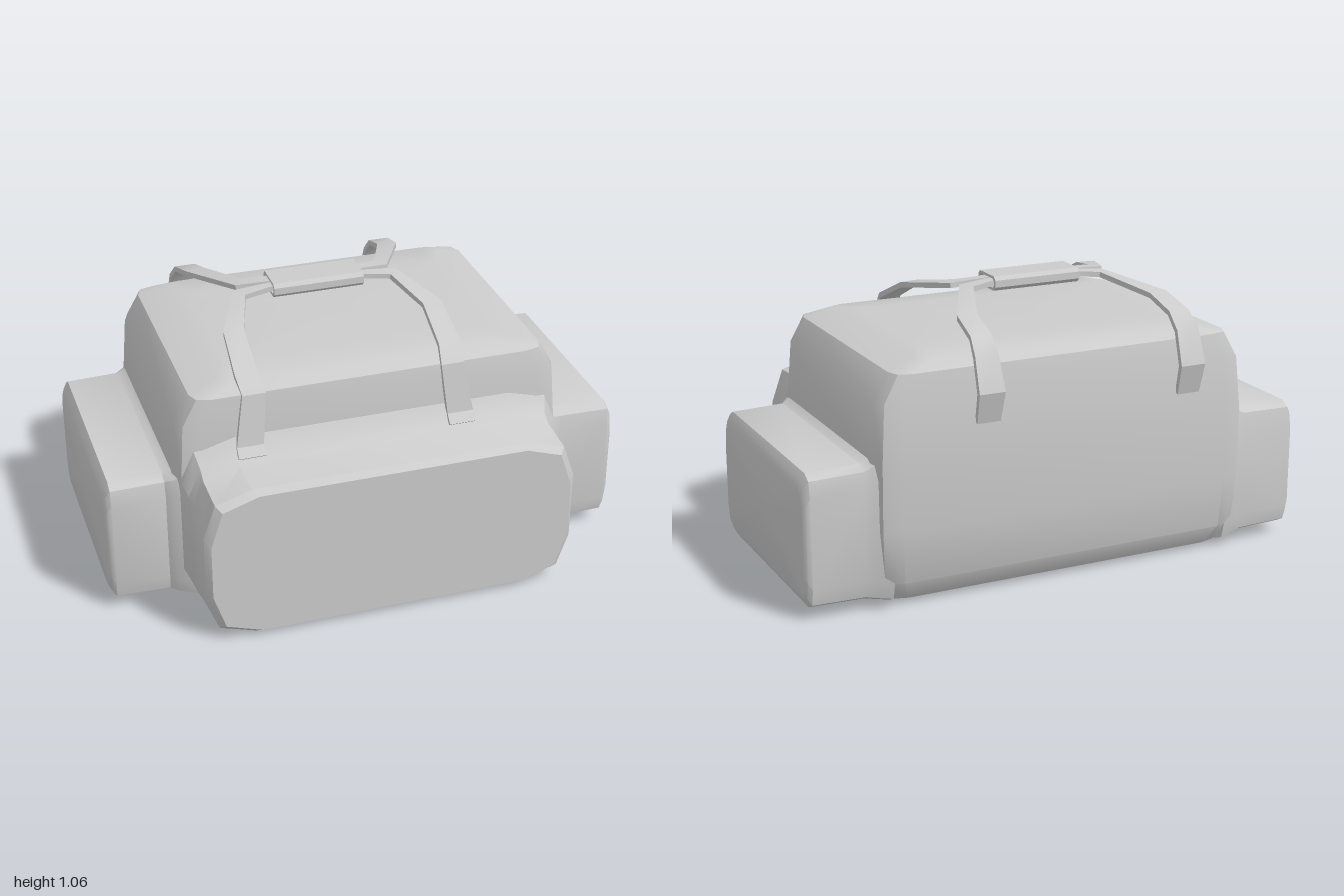
import * as THREE from 'three';
import { toCreasedNormals } from 'three/addons/utils/BufferGeometryUtils.js';

const V = (x, y, z) => new THREE.Vector3(x, y, z);
const material = new THREE.MeshStandardMaterial({ color: 0xcccccc });

// Skin a list of point rings, close both ends, and turn all faces outward.
function loft(rings, crease = 0.6) {
  const tris = [];
  const n = rings[0].length;
  for (let i = 0; i < rings.length - 1; i++) {
    for (let j = 0; j < n; j++) {
      const k = (j + 1) % n;
      const [a, b, c, d] = [rings[i][j], rings[i][k], rings[i + 1][k], rings[i + 1][j]];
      tris.push([a, b, c], [a, c, d]);
    }
  }
  const cap = (ring, flip) => {
    const mid = ring.reduce((s, p) => s.add(p), V(0, 0, 0)).divideScalar(n);
    for (let j = 0; j < n; j++) {
      const [a, b] = [ring[j], ring[(j + 1) % n]];
      tris.push(flip ? [mid, b, a] : [mid, a, b]);
    }
  };
  cap(rings[0], true);
  cap(rings[rings.length - 1], false);
  const volume = tris.reduce((s, [a, b, c]) => s + a.dot(b.clone().cross(c)), 0);
  if (volume < 0) tris.forEach((t) => t.reverse());
  const geometry = new THREE.BufferGeometry().setFromPoints(tris.flat());
  return toCreasedNormals(geometry, crease);
}

// Rectangle with softened corners: u0..u1 by v0..v1, corner cuts cu and cv.
function section(u0, u1, v0, v1, cu, cv, place) {
  const pts = [];
  const corner = (u, v, su, sv, swap) => {
    const c = [[u, v - sv * cv], [u - su * cu * 0.25, v - sv * cv * 0.25], [u - su * cu, v]];
    pts.push(...(swap ? c.reverse() : c));
  };
  corner(u1, v1, 1, 1, false);
  corner(u0, v1, -1, 1, true);
  corner(u0, v0, -1, -1, false);
  corner(u1, v0, 1, -1, true);
  return pts.map(([u, v]) => place(u, v));
}

function add(group, name, geometry) {
  const mesh = new THREE.Mesh(geometry, material);
  mesh.name = name;
  group.add(mesh);
  return mesh;
}

// Flat webbing; each point is x, y, z, turn of the width about y (degrees), width.
function strap(points, thickness = 0.02) {
  const centers = points.map((p) => V(p[0], p[1], p[2]));
  const rings = centers.map((c, i) => {
    const last = centers.length - 1;
    const dir = centers[Math.min(i + 1, last)].clone().sub(centers[Math.max(i - 1, 0)]).normalize();
    const a = THREE.MathUtils.degToRad(points[i][3]);
    const w = V(Math.cos(a), 0, Math.sin(a));
    const t = dir.cross(w).normalize().multiplyScalar(thickness / 2);
    w.multiplyScalar(points[i][4] / 2);
    return [[1, 1], [-1, 1], [-1, -1], [1, -1]].map(([p, q]) =>
      c.clone().addScaledVector(w, p).addScaledVector(t, q));
  });
  return loft(rings, 0.5);
}

export function createModel() {
  const bag = new THREE.Group();
  bag.name = 'duffelBag';

  // Main body, stacked upward: y, half width, back z, front z, corner cuts
  const body = [
    [0.0, 0.62, -0.42, 0.33, 0.08, 0.07],
    [0.02, 0.69, -0.53, 0.36, 0.08, 0.07],
    [0.1, 0.735, -0.585, 0.38, 0.09, 0.08],
    [0.3, 0.745, -0.6, 0.39, 0.09, 0.08],
    [0.55, 0.745, -0.605, 0.39, 0.09, 0.08],
    [0.76, 0.73, -0.592, 0.38, 0.09, 0.08],
    [0.86, 0.67, -0.58, 0.37, 0.07, 0.06],
    [0.89, 0.56, -0.535, 0.33, 0.05, 0.05],
    [0.9, 0.5, -0.4, 0.2, 0.05, 0.05],
  ];
  add(bag, 'mainBody', loft(body.map(([y, h, z0, z1, cu, cv]) =>
    section(-h, h, z0, z1, cu, cv, (u, v) => V(u, y, v)))));

  // Front pocket, flared where it meets the body: z, half width, bottom, top, cuts
  const front = [
    [0.25, 0.74, 0.0, 0.74, 0.2, 0.16],
    [0.385, 0.725, 0.0, 0.7, 0.2, 0.16],
    [0.42, 0.71, 0.0, 0.645, 0.19, 0.14],
    [0.46, 0.708, 0.0, 0.62, 0.18, 0.14],
    [0.61, 0.705, 0.008, 0.617, 0.18, 0.17],
    [0.637, 0.685, 0.025, 0.6, 0.18, 0.18],
  ];
  add(bag, 'frontPocket', loft(front.map(([z, h, y0, y1, cu, cv]) =>
    section(-h, h, y0, y1, cu, cv, (u, v) => V(u, v, z)))));

  // End pockets: x, back z, front z, bottom, top, cuts
  const end = [
    [0.68, -0.575, 0.38, 0.02, 0.6, 0.06, 0.08],
    [0.745, -0.56, 0.355, 0.03, 0.555, 0.06, 0.08],
    [0.775, -0.55, 0.33, 0.036, 0.54, 0.05, 0.08],
    [0.975, -0.548, 0.327, 0.04, 0.535, 0.05, 0.08],
    [0.99, -0.54, 0.32, 0.065, 0.51, 0.05, 0.08],
    [1.0, -0.525, 0.305, 0.085, 0.485, 0.05, 0.08],
  ];
  for (const [side, name] of [[1, 'leftEndPocket'], [-1, 'rightEndPocket']]) {
    add(bag, name, loft(end.map(([x, z0, z1, y0, y1, cu, cv]) =>
      section(z0, z1, y0, y1, cu, cv, (u, v) => V(side * x, v, u)))));
  }

  // Carry straps, set slightly off centre; half a path mirrored about their middle
  const middle = -0.075;
  const frontHalf = [
    [-0.4, 0.635, 0.435, 0, 0.1],
    [-0.4, 0.67, 0.405, 0, 0.1],
    [-0.375, 0.86, 0.375, 0, 0.085],
    [-0.385, 0.91, 0.32, 0, 0.085],
    [-0.38, 0.99, 0.14, 8, 0.075],
    [-0.3, 1.027, -0.075, 55, 0.06],
    [-0.17, 1.035, -0.09, 90, 0.035],
  ];
  const backHalf = [
    [-0.405, 0.66, -0.6, 0, 0.09],
    [-0.405, 0.77, -0.63, 0, 0.1],
    [-0.405, 0.89, -0.585, 0, 0.09],
    [-0.4, 0.945, -0.53, 0, 0.08],
    [-0.39, 0.985, -0.4, -8, 0.075],
    [-0.28, 1.027, -0.16, -55, 0.06],
    [-0.17, 1.035, -0.14, -90, 0.045],
  ];
  for (const [name, half] of [['frontStrap', frontHalf], ['backStrap', backHalf]]) {
    const other = half.map(([x, y, z, a, w]) => [-x, y, z, Math.sign(a || (half === frontHalf ? 1 : -1)) * 180 - a, w]);
    add(bag, name, strap([...half, ...other.reverse()])).position.x = middle;
  }

  // Hollow grip wrapped round both straps
  const outline = (path, w, h, c) => {
    const pts = [[w, h - c], [w - c, h], [c - w, h], [-w, h - c], [-w, c - h], [c - w, -h], [w - c, -h], [w, c - h]];
    return path.setFromPoints(pts.map(([x, y]) => new THREE.Vector2(x, y)));
  };
  const gripShape = outline(new THREE.Shape(), 0.073, 0.027, 0.014);
  gripShape.holes.push(outline(new THREE.Path(), 0.06, 0.017, 0.01));
  const gripGeometry = new THREE.ExtrudeGeometry(gripShape, { depth: 0.35, bevelEnabled: false });
  gripGeometry.translate(0, 0, -0.175).rotateY(Math.PI / 2);
  add(bag, 'grip', gripGeometry).position.set(middle, 1.035, -0.113);

  return bag;
}
